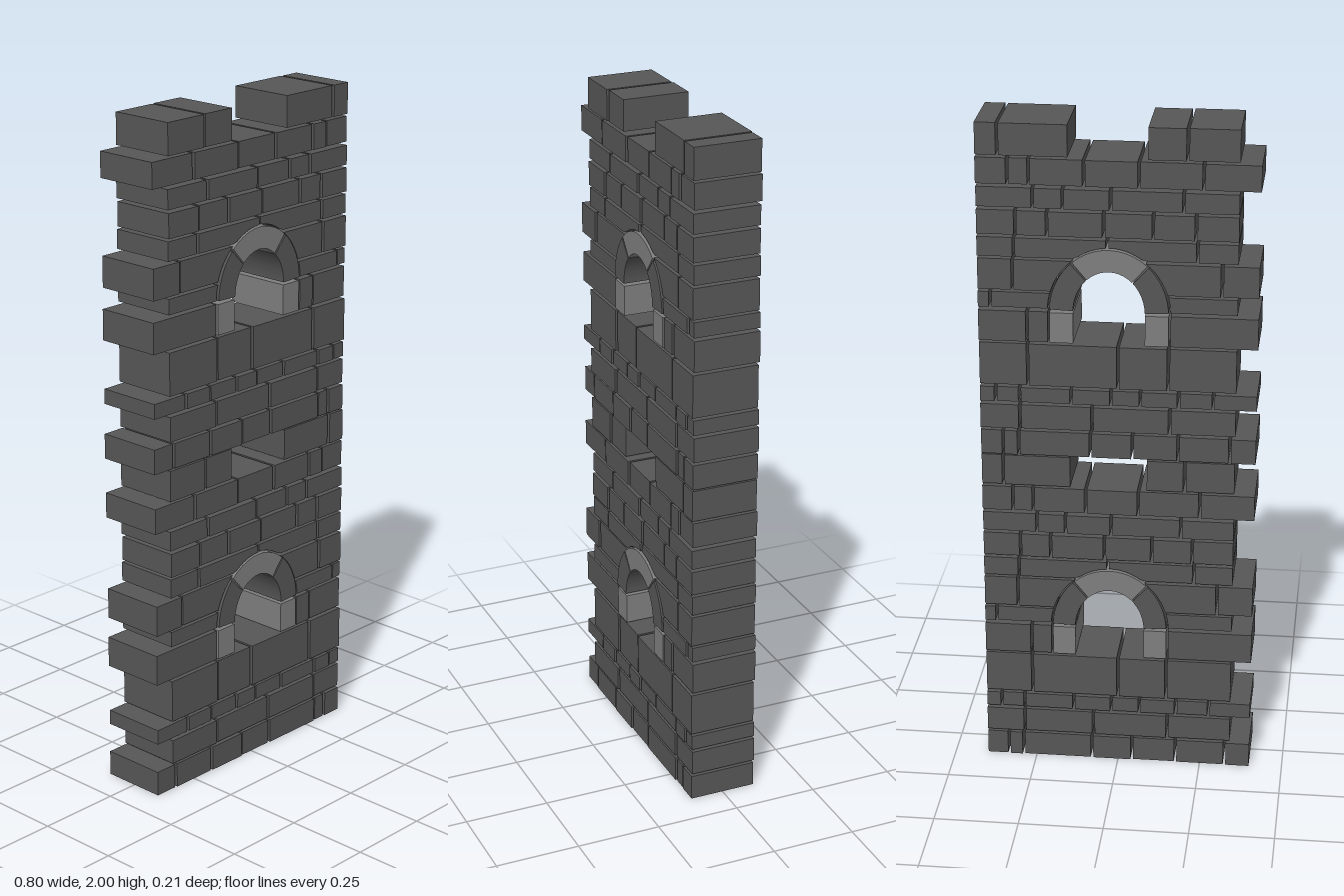
import * as THREE from 'three';

const darkStone = new THREE.MeshStandardMaterial({ color: 0x565656 });
darkStone.name = 'dark stone';
const lightStone = new THREE.MeshStandardMaterial({ color: 0x7e7e7e });
lightStone.name = 'light stone';

const DEPTH = 0.2, GAP = 0.004;
// Arch: centre, springing height, outer and inner radii
const CX = 0.025, SPRING = 0.45, OUT = [0.17, 0.19], INN = [0.1025, 0.125];

// Each course: bottom, top, then runs of joint positions; 'arch' ends a run against the arch ring
const courses = [
  [0, 0.075, [-0.4, -0.325, -0.175, -0.042, 0.08, 0.29, 0.335, 0.4]],
  [0.083, 0.157, [-0.34, -0.15, 0.075, 0.285, 0.4]],
  [0.166, 0.211, [-0.4, -0.275, -0.175, -0.065, 0.02, 0.135, 0.285, 0.355, 0.4]],
  [0.219, 0.347, [-0.34, -0.145, 0, 0.26, 0.4]],
  [0.355, 0.447, [-0.4, 'arch'], ['arch', 0.26, 0.4]],
  [0.457, 0.503, [-0.34, 'arch'], ['arch', 0.365, 0.4]],
  [0.51, 0.602, [-0.4, -0.295, 'arch'], ['arch', 0.3, 0.4]],
  [0.61, 0.667, [-0.34, -0.225, 0.03, 0.295, 0.4]],
  [0.675, 0.747, [-0.34, -0.22, -0.1, 0.04, 0.2, 0.29, 0.4]],
  [0.756, 0.814, [-0.34, -0.185, 0.02, 0.155, 0.24, 0.4]],
  [0.824, 0.9, [-0.4, -0.24, -0.06, 0.095, 0.25, 0.31, 0.4]],
  [0.907, 1.0, [-0.34, -0.195, -0.085], [0.14, 0.337, 0.4]],
];

// Half width of the arch ring at a height, and ring height at an x
const archHalf = (y) => {
  const t = Math.max(0, (y - SPRING) / OUT[1]);
  return (OUT[0] + 0.006) * Math.sqrt(Math.max(0, 1 - t * t));
};
const archTop = (x) => {
  const t = (x - CX) / OUT[0];
  return SPRING + (OUT[1] + 0.005) * Math.sqrt(Math.max(0, 1 - t * t));
};

function slab(points, material, name, depth = DEPTH) {
  const shape = new THREE.Shape(points.map(([x, y]) => new THREE.Vector2(x, y)));
  const geo = new THREE.ExtrudeGeometry(shape, { depth, bevelEnabled: false });
  geo.translate(0, 0, -depth / 2);
  const mesh = new THREE.Mesh(geo, material);
  mesh.name = name;
  return mesh;
}

// Outline of one stone, trimmed where it meets the arch
function stoneOutline(a, b, y0, y1, gapA, gapB) {
  const N = 8, pts = [];
  const left = (y) => (a === 'arch' ? CX + archHalf(y) : a + gapA);
  const right = (y) => (b === 'arch' ? CX - archHalf(y) : b - gapB);
  const curvedSide = a === 'arch' || b === 'arch';
  if (curvedSide) {
    for (let i = 0; i <= N; i++) {
      const y = y0 + ((y1 - y0) * i) / N;
      pts.push([right(y), y]);
    }
    for (let i = N; i >= 0; i--) {
      const y = y0 + ((y1 - y0) * i) / N;
      pts.push([left(y), y]);
    }
    return pts;
  }
  const x0 = left(y0), x1 = right(y0);
  const overArch = y0 > 0.6 && y0 < 0.65;
  const steps = overArch ? 16 : 1;
  for (let i = 0; i <= steps; i++) {
    const x = x0 + ((x1 - x0) * i) / steps;
    pts.push([x, overArch ? Math.max(y0, archTop(x)) : y0]);
  }
  pts.push([x1, y1], [x0, y1]);
  return pts;
}

// Curved ring stone between two angles in degrees
function ringStone(from, to, material, name) {
  const N = 10, pts = [];
  const at = (r, i) => {
    const t = THREE.MathUtils.degToRad(from + ((to - from) * i) / N);
    return [CX + r[0] * Math.cos(t), SPRING + r[1] * Math.sin(t)];
  };
  for (let i = 0; i <= N; i++) pts.push(at(OUT, i));
  for (let i = N; i >= 0; i--) pts.push(at(INN, i));
  return slab(pts, material, name, 0.208);
}

function createStorey(name) {
  const storey = new THREE.Group();
  storey.name = name;
  let n = 0;
  courses.forEach(([y0, y1, ...runs], c) => {
    const course = new THREE.Group();
    course.name = `course${c + 1}`;
    for (const run of runs) {
      for (let i = 0; i < run.length - 1; i++) {
        const gapA = i === 0 ? 0 : GAP;
        const gapB = i === run.length - 2 ? 0 : GAP;
        const pts = stoneOutline(run[i], run[i + 1], y0, y1, gapA, gapB);
        const stone = slab(pts, darkStone, 'stone');
        // slightly uneven faces
        stone.position.z = (((n++ * 37) % 5) - 2) * 0.001;
        course.add(stone);
      }
    }
    storey.add(course);
  });

  // Window arch: jambs, haunches and crown
  const arch = new THREE.Group();
  arch.name = 'windowArch';
  for (const s of [-1, 1]) {
    const xs = [CX + s * INN[0], CX + s * OUT[0]].sort((p, q) => p - q);
    arch.add(slab([[xs[0], 0.355], [xs[1], 0.355], [xs[1], 0.446], [xs[0], 0.446]],
      lightStone, s < 0 ? 'rightJamb' : 'leftJamb', 0.204));
  }
  arch.add(ringStone(2, 50, darkStone, 'leftHaunch'));
  arch.add(ringStone(52, 130, lightStone, 'crown'));
  arch.add(ringStone(132, 178, darkStone, 'rightHaunch'));
  storey.add(arch);
  return storey;
}

export function createModel() {
  const wall = new THREE.Group();
  wall.name = 'stoneWall';
  ['lowerStorey', 'upperStorey'].forEach((name, i) => {
    const storey = createStorey(name);
    storey.position.y = i * 1.0 + (i ? 0.004 : 0);
    storey.scale.y = i ? 0.996 : 1;
    wall.add(storey);
  });
  return wall;
}
